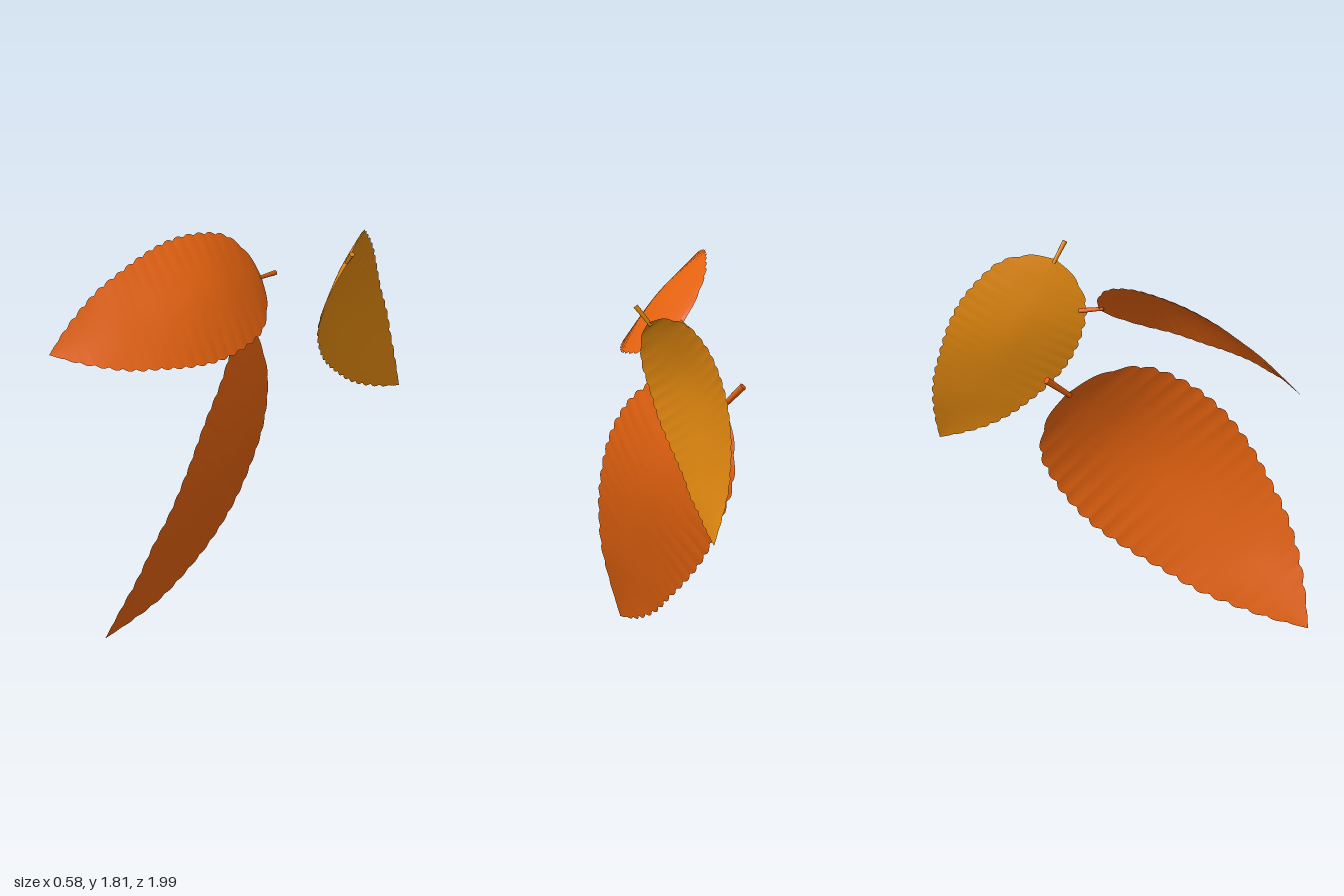
import * as THREE from 'three';

// Half outline and midrib of a unit-long leaf: [along, half width, edge height, rib height]
const PROFILE = [
  [0, 0, 0, 0], [0.025, 0.105, 0.018, 0.025], [0.1, 0.207, 0.05, 0.065],
  [0.22, 0.253, 0.08, 0.108], [0.35, 0.268, 0.092, 0.125], [0.48, 0.252, 0.098, 0.119],
  [0.61, 0.217, 0.092, 0.1], [0.72, 0.182, 0.075, 0.079], [0.82, 0.132, 0.057, 0.052],
  [0.91, 0.073, 0.03, 0.026], [1, 0, 0, 0],
];
const TEETH = 20;

// Bowed, slightly cupped blade with a scalloped rim (x across, y along, z out of the bow)
function bladeGeometry() {
  const curve = (pick) => new THREE.CatmullRomCurve3(PROFILE.map(pick), false, 'catmullrom', 0.5);
  const edge = curve(([t, w, e]) => new THREE.Vector3(w, t, e));
  const rib = curve(([t, , , r]) => new THREE.Vector3(0, t, r));
  const rows = 200, cols = 14;
  const geo = new THREE.PlaneGeometry(1, 1, cols, rows);
  const pos = geo.attributes.position;
  for (let i = 0; i <= rows; i++) {
    const e = edge.getPoint(i / rows), r = rib.getPoint(i / rows);
    const notch = 1 - Math.abs(Math.sin(Math.PI * TEETH * e.y));
    const width = Math.max(0, e.x - 0.011 * notch * Math.min(1, e.x / 0.1));
    for (let j = 0; j <= cols; j++) {
      const s = (j / cols) * 2 - 1;
      const z = r.z + (e.z - r.z) * Math.pow(Math.abs(s), 1.6);
      pos.setXYZ(i * (cols + 1) + j, s * width, e.y, z);
    }
  }
  // rows run upward, so flip the winding to face +z
  const idx = geo.index;
  for (let i = 0; i < idx.count; i += 3) {
    const a = idx.getX(i);
    idx.setX(i, idx.getX(i + 1));
    idx.setX(i + 1, a);
  }
  geo.computeVertexNormals();
  return geo;
}

// Short stalk, thicker at its free end
function stemGeometry() {
  const from = new THREE.Vector3(0, 0.015, 0.012), to = new THREE.Vector3(0, -0.078, -0.035);
  const dir = to.clone().sub(from);
  const geo = new THREE.CylinderGeometry(0.0105, 0.0075, dir.length(), 10);
  geo.applyQuaternion(new THREE.Quaternion().setFromUnitVectors(
    new THREE.Vector3(0, 1, 0), dir.clone().normalize()));
  const mid = from.add(to).multiplyScalar(0.5);
  return geo.translate(mid.x, mid.y, mid.z);
}

export function createModel() {
  const model = new THREE.Group();
  model.name = 'autumnLeaves';
  const material = (name, color) => {
    const m = new THREE.MeshStandardMaterial({ color, side: THREE.DoubleSide });
    m.name = name;
    return m;
  };
  const orange = material('burntOrange', 0xe2610f);
  const amber = material('amber', 0xdd850f);
  const blade = bladeGeometry(), stem = stemGeometry();

  // Place a leaf by its base, tip and the direction across it
  function addLeaf(name, mat, base, tip, across) {
    const origin = new THREE.Vector3(...base);
    const along = new THREE.Vector3(...tip).sub(origin);
    const length = along.length();
    along.normalize();
    const side = new THREE.Vector3(...across);
    side.addScaledVector(along, -side.dot(along)).normalize();
    const out = new THREE.Vector3().crossVectors(side, along);
    const leaf = new THREE.Group();
    leaf.name = name;
    leaf.quaternion.setFromRotationMatrix(new THREE.Matrix4().makeBasis(side, along, out));
    leaf.position.copy(origin);
    leaf.scale.setScalar(length);
    for (const [part, geo] of [['Blade', blade], ['Stem', stem]]) {
      const mesh = new THREE.Mesh(geo, mat);
      mesh.name = name + part;
      leaf.add(mesh);
    }
    model.add(leaf);
  }

  addLeaf('largeLeaf', orange, [-0.2, 1.16, -0.22], [0.15, 0.01, 0.88], [0.394, 0.693, 0.603]);
  addLeaf('upperLeaf', orange, [-0.01, 1.54, -0.15], [-0.13, 1.48, 1.0], [-0.65, 0.76, 0]);
  addLeaf('rearLeaf', amber, [0.2, 1.6, -0.5], [-0.05, 0.61, -0.98], [-0.39, 0.39, -0.83]);
  return model;
}
